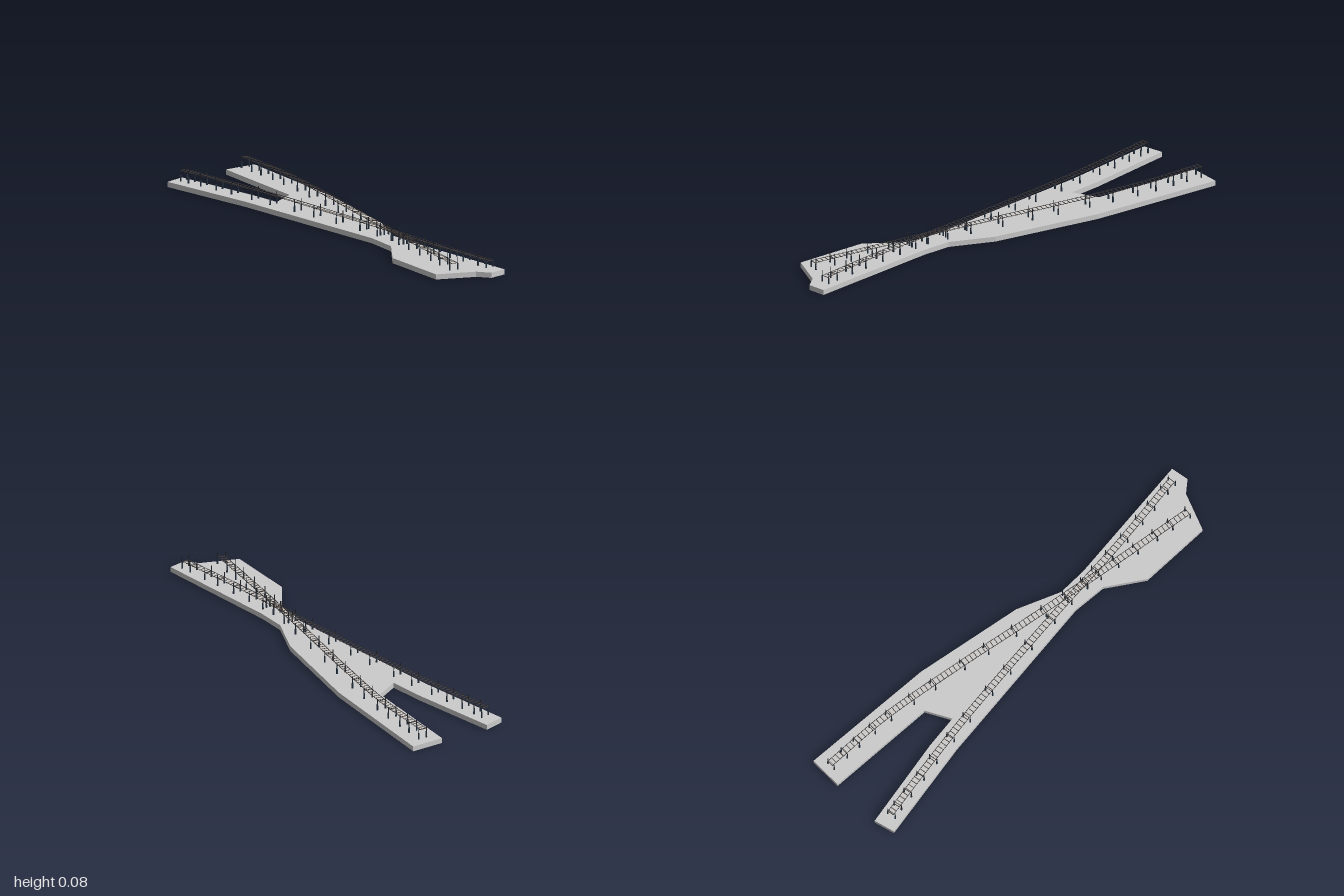
import * as THREE from 'three';

const slabMat = new THREE.MeshStandardMaterial({ color: 0xcccccc });
const baseMat = new THREE.MeshStandardMaterial({ color: 0x263442 });
const poleMat = new THREE.MeshStandardMaterial({ color: 0x22252a });
const railMat = new THREE.MeshStandardMaterial({ color: 0x3c3a3a });
const tieMat = new THREE.MeshStandardMaterial({ color: 0x54463c });

const HALF_GAUGE = 0.014, HALF_POSTS = 0.019;

// Ground outline as [x, z]
const outline = [
  [-0.23, -0.975], [-0.14, -1], [-0.058, -0.6], [-0.037, -0.45], [0.07, -0.51],
  [0.085, -1], [0.23, -1], [0.205, -0.4], [0.13, 0.08], [0.055, 0.27], [0.058, 0.4],
  [0.13, 0.985], [0.053, 1], [0.01, 0.95], [-0.153, 0.89], [-0.153, 0.57],
  [-0.05, 0.41], [-0.042, 0.26], [-0.145, -0.53],
];

// Centre lines of the two crossing tracks as [x, z]
const tracks = {
  leftTrack: [[0.16, -0.97], [0.152, -0.66], [0.105, -0.29], [0.047, 0.08], [0.005, 0.37], [-0.027, 0.61], [-0.063, 0.89]],
  rightTrack: [[-0.175, -0.94], [-0.13, -0.7], [-0.08, -0.4], [-0.005, 0.2], [0.03, 0.55], [0.085, 0.94]],
};

// Stations of the post pairs along z
const stations = [0.89, 0.8, 0.72, 0.62, 0.52, 0.43, 0.36, 0.26, 0.15, 0, -0.14,
  -0.26, -0.41, -0.52, -0.64, -0.73, -0.82, -0.89];

// Tracks climb gently toward the back
const trackHeight = (z) => 0.069 - 0.0085 * z;

function add(parent, name, geometry, material, x = 0, y = 0, z = 0, turn = 0) {
  const mesh = new THREE.Mesh(geometry, material);
  mesh.name = name;
  mesh.position.set(x, y, z);
  mesh.rotation.y = turn;
  parent.add(mesh);
  return mesh;
}

function makeTrack(name, points) {
  const group = new THREE.Group();
  group.name = name;
  const curve = new THREE.CatmullRomCurve3(
    points.map(([x, z]) => new THREE.Vector3(x, trackHeight(z), z)));
  const frame = (t) => {
    const p = curve.getPointAt(t), d = curve.getTangentAt(t);
    return { p, turn: Math.atan2(d.x, d.z), side: new THREE.Vector3(d.z, 0, -d.x).normalize() };
  };

  // Two thin rails
  for (const s of [-1, 1]) {
    const path = [];
    for (let i = 0; i <= 40; i++) {
      const { p, side } = frame(i / 40);
      path.push(p.addScaledVector(side, s * HALF_GAUGE));
    }
    add(group, s < 0 ? 'rightRail' : 'leftRail',
      new THREE.TubeGeometry(new THREE.CatmullRomCurve3(path), 80, 0.0013, 6), railMat);
  }

  // Closely spaced ties
  const tie = new THREE.BoxGeometry(0.031, 0.0016, 0.003);
  const count = Math.round(curve.getLength() / 0.021);
  for (let i = 0; i <= count; i++) {
    const { p, turn } = frame(i / count);
    add(group, 'tie', tie, tieMat, p.x, p.y - 0.0015, p.z, turn);
  }

  // Post pairs: thick foot, slim pole and a crossbar carrying the track
  const foot = new THREE.CylinderGeometry(0.0032, 0.0038, 0.027, 8);
  const pole = new THREE.CylinderGeometry(0.0018, 0.0018, 0.03, 6);
  const bar = new THREE.BoxGeometry(2 * HALF_POSTS, 0.002, 0.002);
  const first = points[0][1], last = points[points.length - 1][1];
  const zs = [...stations, first + 0.005, ...(last > 0.92 ? [last] : [])];
  for (const z of zs) {
    // Find the curve parameter whose z matches the station
    let lo = 0, hi = 1;
    for (let i = 0; i < 24; i++) {
      const mid = (lo + hi) / 2;
      if (curve.getPointAt(mid).z < z) lo = mid; else hi = mid;
    }
    const { p, turn, side } = frame(lo);
    for (const s of [-1, 1]) {
      const q = p.clone().addScaledVector(side, s * HALF_POSTS);
      add(group, 'postFoot', foot, baseMat, q.x, 0.0445, q.z);
      add(group, 'postPole', pole, poleMat, q.x, 0.068, q.z);
    }
    add(group, 'crossbar', bar, poleMat, p.x, p.y - 0.002, p.z, turn);
  }
  return group;
}

export function createModel() {
  const model = new THREE.Group();
  model.name = 'crossingTracks';

  // Flat ground slab; shape y is -z so that it lies face up once turned
  const shape = new THREE.Shape(outline.map(([x, z]) => new THREE.Vector2(x, -z)));
  const slab = new THREE.ExtrudeGeometry(shape, { depth: 0.0225, bevelEnabled: false });
  slab.rotateX(-Math.PI / 2);
  add(model, 'groundSlab', slab, slabMat, 0, 0.0025, 0);

  for (const [name, points] of Object.entries(tracks)) model.add(makeTrack(name, points));
  return model;
}
